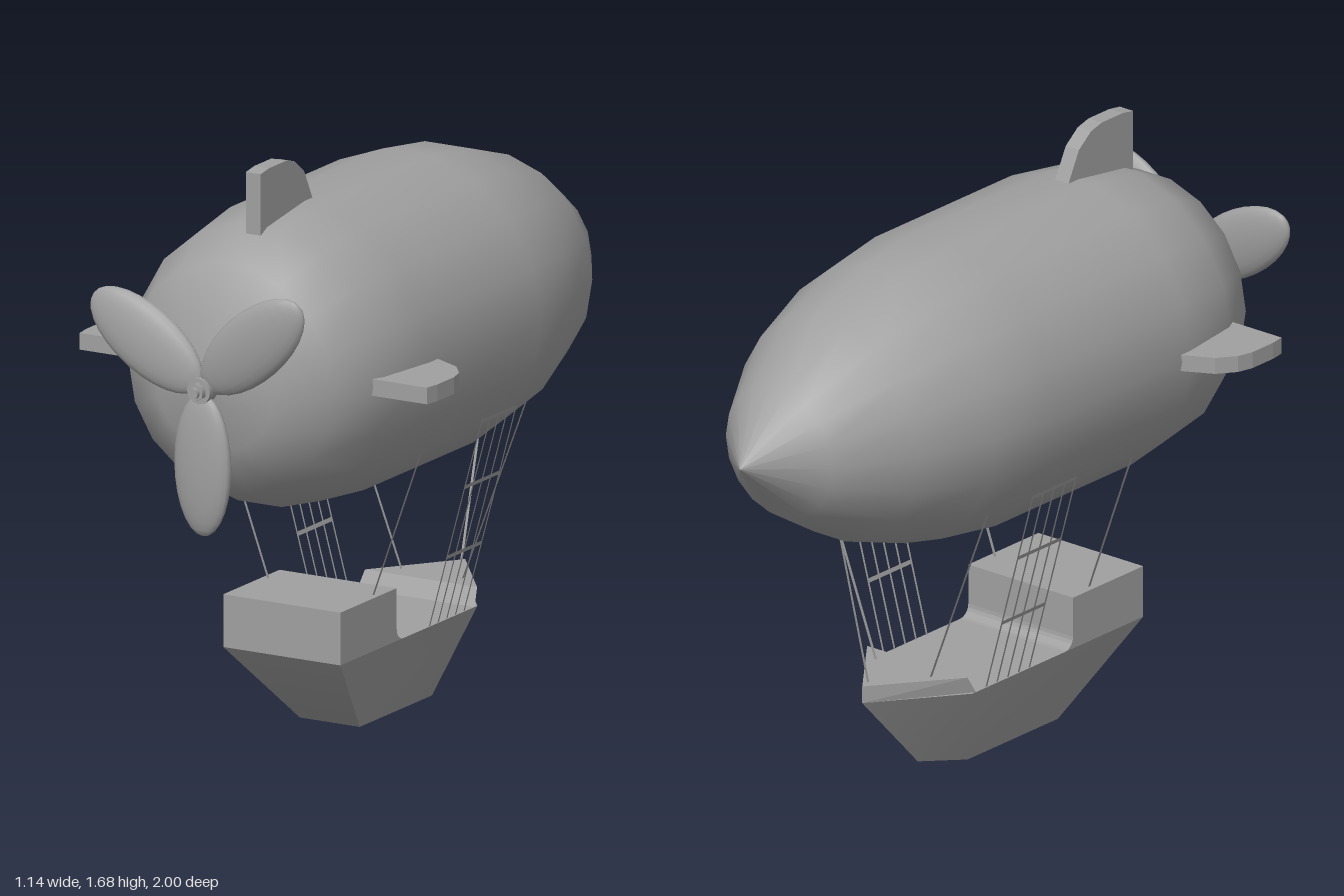
import * as THREE from 'three';
import { ConvexGeometry } from 'three/addons/geometries/ConvexGeometry.js';
import { toCreasedNormals } from 'three/addons/utils/BufferGeometryUtils.js';

const AXIS_Y = 1.117; // height of the balloon's long axis
const material = new THREE.MeshStandardMaterial({ color: 0xa0a0a0 });
const thinMaterial = new THREE.MeshStandardMaterial({ color: 0xa0a0a0, side: THREE.DoubleSide });

function addMesh(parent, name, geometry, mat = material) {
  const mesh = new THREE.Mesh(geometry, mat);
  mesh.name = name;
  parent.add(mesh);
  return mesh;
}

// Side profile given as [z, y], extruded along x and centred on x = 0
function sideExtrude(profile, width) {
  const shape = new THREE.Shape(profile.map(([z, y]) => new THREE.Vector2(-z, y)));
  const geometry = new THREE.ExtrudeGeometry(shape, { depth: width, bevelEnabled: false });
  return geometry.translate(0, 0, -width / 2).rotateY(Math.PI / 2);
}

// Flat cord from a to b, widened along the unit direction "across"
function ribbon(a, b, across, width) {
  const w = new THREE.Vector3(...across).multiplyScalar(width / 2);
  const p = new THREE.Vector3(...a);
  const q = new THREE.Vector3(...b);
  const corners = [p.clone().sub(w), p.clone().add(w), q.clone().add(w), q.clone().sub(w)];
  const geometry = new THREE.BufferGeometry().setFromPoints(corners);
  geometry.setIndex([0, 1, 2, 0, 2, 3]);
  geometry.computeVertexNormals();
  return geometry;
}

function buildBalloon(root) {
  // Profile from tail tip to rounded front, as [radius, z]
  const profile = [
    [0, -1], [0.193, -0.83], [0.328, -0.61], [0.406, -0.37], [0.435, -0.155],
    [0.435, 0.435], [0.406, 0.637], [0.33, 0.795], [0.193, 0.885], [0, 0.908],
  ].map(([r, z]) => new THREE.Vector2(r, z));
  const geometry = new THREE.LatheGeometry(profile, 18, Math.PI / 18).rotateX(Math.PI / 2);
  addMesh(root, 'balloon', geometry).position.y = AXIS_Y;
}

function buildFins(root) {
  const profile = [
    [0.672, 0.375], [0.672, 0.563], [0.627, 0.57], [0.537, 0.57],
    [0.49, 0.558], [0.438, 0.518], [0.39, 0.425], [0.39, 0.375],
  ];
  const geometry = sideExtrude(profile, 0.048);
  [['topFin', 0], ['leftFin', -Math.PI / 2], ['rightFin', Math.PI / 2]].forEach(([name, angle]) => {
    const fin = addMesh(root, name, geometry);
    fin.position.y = AXIS_Y - 0.003;
    fin.rotation.z = angle;
  });
}

function buildPropeller(root) {
  const propeller = new THREE.Group();
  propeller.name = 'propeller';
  propeller.position.y = AXIS_Y;
  root.add(propeller);

  // Blades: flattened ellipsoids with a slight pitch
  const blade = new THREE.SphereGeometry(1, 20, 14)
    .scale(0.097, 0.205, 0.034).rotateY(0.12).translate(0, 0.217, 0);
  [-90, 42, 147].forEach((degrees) => {
    const mesh = addMesh(propeller, 'propellerBlade', blade);
    mesh.position.z = 0.944;
    mesh.rotation.z = THREE.MathUtils.degToRad(degrees - 90);
  });

  // Stepped hub: [radius, start z, end z, sides]
  [[0.037, 0.925, 0.968, 16], [0.026, 0.968, 0.987, 6], [0.016, 0.987, 1, 12]]
    .forEach(([r, z0, z1, sides]) => {
      const hub = new THREE.CylinderGeometry(r, r, z1 - z0, sides).rotateX(Math.PI / 2);
      addMesh(propeller, 'propellerHub', hub).position.z = (z0 + z1) / 2;
    });
}

function buildGondola(root) {
  const gondola = new THREE.Group();
  gondola.name = 'gondola';
  root.add(gondola);

  // Horizontal outline with a pointed bow
  const outline = (y, w, zStern, zShoulder, zTip) => [
    [w, zStern], [w, zShoulder], [0, zTip], [-w, zShoulder], [-w, zStern],
  ].map(([x, z]) => new THREE.Vector3(x, y, z));

  // Hull tapering to a narrow flat bottom, sides blending softly into the bow
  const hull = new ConvexGeometry([
    ...outline(0.25, 0.19, 0.518, -0.22, -0.47),
    ...outline(0, 0.097, 0.26, -0.13, -0.23),
  ]);
  addMesh(gondola, 'hull', toCreasedNormals(hull, 0.8));

  // Raised triangular bow deck with a sloped step
  const bow = [[0.25, 0.19, -0.205], [0.3, 0.182, -0.232]].flatMap(([y, w, z]) =>
    [[w, z], [-w, z], [0, -0.47]].map(([x, pz]) => new THREE.Vector3(x, y, pz)));
  addMesh(gondola, 'bowDeck', new ConvexGeometry(bow));

  // Raised cabin with a small fillet where it meets the deck
  const fillet = [];
  for (let i = 0; i <= 5; i++) {
    const t = (i / 5) * Math.PI / 2;
    fillet.push([0.18 + 0.035 * Math.sin(t), 0.285 - 0.035 * Math.cos(t)]);
  }
  addMesh(gondola, 'cabin', sideExtrude(
    [[0.518, 0.25], ...fillet, [0.215, 0.402], [0.518, 0.402]], 0.38));
}

function buildRigging(root) {
  const rigging = new THREE.Group();
  rigging.name = 'rigging';
  root.add(rigging);
  const alongZ = [0, 0, 1];
  const cord = (name, a, b, across, width) =>
    addMesh(rigging, name, ribbon(a, b, across, width), thinMaterial);

  // Ladder x at a given height, leaning outward to the balloon
  const lean = (y) => 0.186 + (y - 0.25) * 0.275;

  for (const side of [1, -1]) {
    for (let i = 0; i < 5; i++) {
      const z = 0.031 - i * 0.0465;
      cord('ladderRope', [side * lean(0.25), 0.25, z], [side * lean(0.868), 0.868, z], alongZ, 0.007);
    }
    for (const y of [0.455, 0.665, 0.862]) {
      cord('ladderRung', [side * lean(y - 0.006), y - 0.006, -0.062],
        [side * lean(y + 0.006), y + 0.006, -0.062], alongZ, 0.192);
    }
    cord('sternRope', [side * 0.17, 0.4, 0.308], [side * 0.335, 0.86, 0.308], alongZ, 0.01);
    cord('foreRope', [side * 0.1, 0.3, -0.292], [side * 0.305, 0.84, -0.292], alongZ, 0.01);
  }
  cord('bowRope', [0.008, 0.3, -0.435], [0.014, 0.79, -0.554], [1, 0, 0], 0.008);
}

export function createModel() {
  const root = new THREE.Group();
  root.name = 'airship';
  buildBalloon(root);
  buildFins(root);
  buildPropeller(root);
  buildGondola(root);
  buildRigging(root);
  return root;
}
